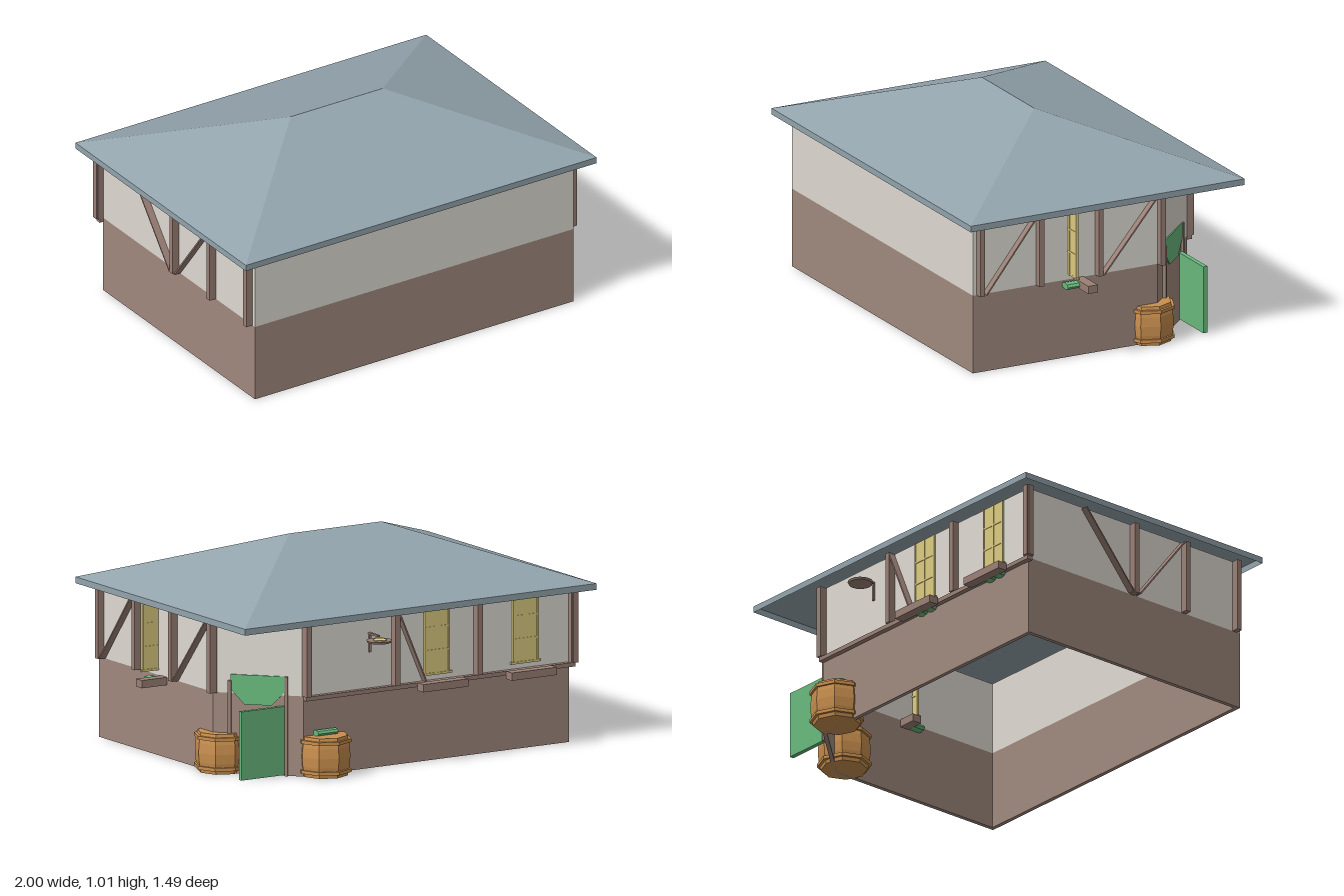
import * as THREE from 'three';

const mat = (name, color, extra = {}) => {
  const m = new THREE.MeshStandardMaterial({ color, ...extra });
  m.name = name;
  return m;
};

export function createModel() {
  const house = new THREE.Group();
  house.name = 'house';
  const stone = mat('brownStone', 0xa0897e);
  const timber = mat('timber', 0x9a8076);
  const plaster = mat('plaster', 0xdfdbd2);
  const slate = mat('slate', 0x93a4ad, { side: THREE.DoubleSide, flatShading: true });
  const green = mat('green', 0x69b97d, { flatShading: true });
  const yellow = mat('yellowGlass', 0xdccb80);
  const oak = mat('barrelOak', 0xc98f4e, { flatShading: true });

  const add = (name, geo, m, x = 0, y = 0, z = 0, parent = house) => {
    const mesh = new THREE.Mesh(geo, m);
    mesh.name = name;
    mesh.position.set(x, y, z);
    parent.add(mesh);
    return mesh;
  };
  // box given by its min and max corners
  const box = (name, m, x0, x1, y0, y1, z0, z1, parent) =>
    add(name, new THREE.BoxGeometry(x1 - x0, y1 - y0, z1 - z0), m,
      (x0 + x1) / 2, (y0 + y1) / 2, (z0 + z1) / 2, parent);

  // Walls: a rectangle with one cut corner, hollow and open below
  const outer = [[-0.91, 0.685], [0.855, 0.685], [0.855, -0.29], [0.56, -0.605], [-0.91, -0.605]];
  const inner = [[-0.89, 0.665], [0.835, 0.665], [0.835, -0.283], [0.552, -0.585], [-0.89, -0.585]];
  const toV = (list) => list.map(([x, z]) => new THREE.Vector2(x, -z));
  const ring = (name, m, y0, y1) => {
    const shape = new THREE.Shape(toV(outer));
    shape.holes.push(new THREE.Path(toV(inner)));
    const geo = new THREE.ExtrudeGeometry(shape, { depth: y1 - y0, bevelEnabled: false });
    geo.rotateX(-Math.PI / 2);
    add(name, geo, m, 0, y0, 0);
  };
  ring('lowerWall', stone, 0, 0.38);
  ring('upperWall', plaster, 0.38, 0.735);

  // Hipped roof, open beneath
  const eave = [[-1, 0.745], [0.945, 0.745], [0.945, -0.7], [-1, -0.7]];
  const low = eave.map(([x, z]) => [x, 0.727, z]);
  const up = eave.map(([x, z]) => [x, 0.757, z]);
  const rl = [-0.28, 1.007, 0.024], rr = [0.23, 1.007, 0.024];
  const tris = [];
  const quad = (a, b, c, d) => tris.push(a, b, c, a, c, d);
  for (let i = 0; i < 4; i++) {
    const j = (i + 1) % 4;
    quad(low[i], low[j], up[j], up[i]);
  }
  quad(up[0], up[1], rr, rl);
  quad(up[2], up[3], rl, rr);
  tris.push(up[1], up[2], rr, up[3], up[0], rl);
  const roofGeo = new THREE.BufferGeometry();
  roofGeo.setAttribute('position', new THREE.Float32BufferAttribute(tris.flat(), 3));
  roofGeo.computeVertexNormals();
  add('roof', roofGeo, slate);

  // Upright timbers on both sides and the back
  for (const z of [0.652, 0.34, 0.027, -0.302]) {
    box('sidePost', timber, 0.85, 0.89, 0.38, 0.735, z - 0.013, z + 0.013);
  }
  for (const z of [0.652, 0.34, 0.027, -0.62]) {
    box('sidePost', timber, -0.945, -0.905, 0.38, 0.735, z - 0.013, z + 0.013);
  }
  for (const x of [0.55, 0.06, -0.396, -0.925]) {
    box('backPost', timber, x - 0.014, x + 0.014, 0.38, 0.735, -0.64, -0.6);
  }
  box('backRail', timber, -0.93, 0.56, 0.36, 0.38, -0.63, -0.6);

  // Slanted braces: thin boards standing out from the wall
  const brace = (along, fixed, a, b) => {
    const len = Math.hypot(b - a, 0.345);
    const tilt = Math.atan2(b - a, 0.345);
    const size = along === 'z' ? [0.036, len, 0.007] : [0.007, len, 0.036];
    const mid = (a + b) / 2;
    const m = add('brace', new THREE.BoxGeometry(...size), timber,
      along === 'z' ? fixed : mid, 0.555, along === 'z' ? mid : fixed);
    if (along === 'z') m.rotation.x = tilt;
    else m.rotation.z = -tilt;
  };
  brace('z', 0.871, 0.63, 0.36);
  brace('z', 0.871, 0.01, -0.28);
  brace('z', -0.927, 0.05, 0.32);
  brace('z', -0.927, 0.01, -0.28);
  brace('x', -0.621, -0.1, 0.05);

  // Window with planter box and leaves; z is the pane's plane
  const windowSet = (x, z) => {
    const g = new THREE.Group();
    g.name = 'window';
    g.position.set(x, 0, z);
    house.add(g);
    box('pane', yellow, -0.07, 0.07, 0.41, 0.73, -0.003, 0.003, g);
    for (const u of [-0.065, 0, 0.065]) box('mullion', yellow, u - 0.005, u + 0.005, 0.41, 0.73, -0.006, 0.006, g);
    for (const v of [0.52, 0.63]) box('glazingBar', yellow, -0.07, 0.07, v - 0.004, v + 0.004, -0.006, 0.006, g);
    box('sill', yellow, -0.082, 0.082, 0.404, 0.414, -0.008, 0.004, g);
    box('planter', timber, -0.125, 0.125, 0.345, 0.382, -0.078, -0.028, g);
    for (const u of [-0.05, 0.015]) {
      const leaf = new THREE.CylinderGeometry(0.018, 0.018, 0.062, 8).rotateX(Math.PI / 2).scale(1.7, 0.95, 1);
      add('leaves', leaf, green, u, 0.361, 0.004, g);
    }
  };
  windowSet(0.87, 0.18);
  windowSet(-0.175, -0.61);
  windowSet(-0.665, -0.61);

  // Eight-sided barrels with two hoops
  const barrel = (x, z) => {
    const g = new THREE.Group();
    g.name = 'barrel';
    g.position.set(x, 0, z);
    house.add(g);
    const body = [[0, 0], [0.11, 0], [0.12, 0.05], [0.123, 0.095], [0.12, 0.14], [0.11, 0.19], [0, 0.19]];
    add('staves', new THREE.LatheGeometry(body.map((p) => new THREE.Vector2(...p)), 8), oak, 0, 0, 0, g);
    for (const y of [0.025, 0.167]) add('hoop', new THREE.CylinderGeometry(0.127, 0.127, 0.016, 8), oak, 0, y, 0, g);
  };
  barrel(0.8, -0.27);
  barrel(0.45, -0.615);
  add('barrelLeaves', new THREE.CylinderGeometry(0.025, 0.025, 0.11, 8).rotateZ(Math.PI / 2).scale(1, 0.6, 1),
    green, 0.45, 0.203, -0.625);

  // Entrance on the cut corner: local +z looks outward
  const entry = new THREE.Group();
  entry.name = 'entrance';
  entry.position.set(0.7075, 0, -0.4475);
  entry.rotation.y = Math.atan2(0.335, -0.295) + 0.045;
  house.add(entry);
  box('leftJamb', timber, -0.143, -0.127, 0, 0.44, -0.01, 0.014, entry);
  box('rightJamb', timber, 0.127, 0.143, 0, 0.47, -0.01, 0.014, entry);
  const arch = new THREE.Shape();
  arch.moveTo(-0.13, 0.47);
  arch.lineTo(-0.13, 0.4);
  arch.lineTo(-0.065, 0.33);
  arch.lineTo(0.065, 0.33);
  arch.lineTo(0.13, 0.4);
  arch.lineTo(0.13, 0.47);
  add('transom', new THREE.ExtrudeGeometry(arch, { depth: 0.006, bevelEnabled: false }), green, 0, 0, 0.002, entry);
  // Door leaf standing open
  box('openDoor', green, 0.62, 0.865, 0.005, 0.33, -0.547, -0.525);

  // Wall lamp on the back
  add('lampTray', new THREE.CylinderGeometry(0.06, 0.055, 0.01, 16), timber, 0.195, 0.615, -0.688);
  add('lampGlow', new THREE.CylinderGeometry(0.032, 0.032, 0.006, 16), yellow, 0.195, 0.622, -0.695);
  box('lampArm', timber, 0.188, 0.202, 0.635, 0.643, -0.686, -0.6);
  box('lampBracket', timber, 0.189, 0.201, 0.55, 0.643, -0.613, -0.6);

  return house;
}
